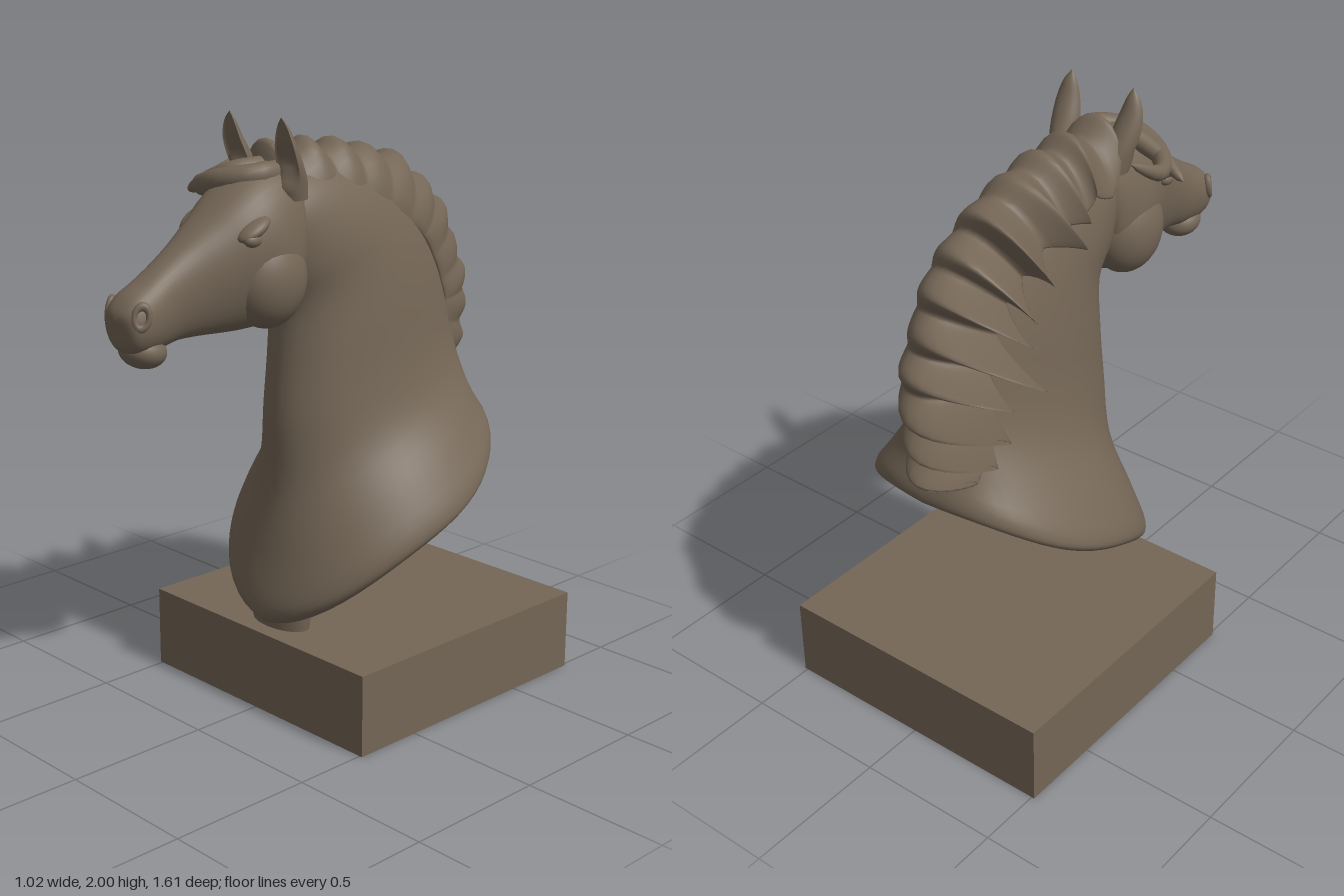
import * as THREE from 'three';

const V = (x, y, z) => new THREE.Vector3(x, y, z);
const { clamp } = THREE.MathUtils;

// Smoothly resample a table of numeric rows (Catmull-Rom), n steps per span
function smoothRows(rows, n) {
  const out = [], last = rows.length - 1;
  for (let i = 0; i < last; i++) {
    const a = rows[Math.max(i - 1, 0)], b = rows[i], c = rows[i + 1], d = rows[Math.min(i + 2, last)];
    for (let k = 0; k < n; k++) {
      const t = k / n;
      out.push(b.map((p, j) => p + 0.5 * t * (c[j] - a[j] + t * (2 * a[j] - 5 * p + 4 * c[j] - d[j]
        + t * (3 * (p - c[j]) + d[j] - a[j])))));
    }
  }
  out.push(rows[last]);
  return out;
}

// Skin closed rings of equal length, facing outwards
function loft(rings) {
  const n = rings[0].length, pts = rings.flat(), idx = [];
  for (let j = 0; j < n; j++) {
    const k = (j + 1) % n;
    for (let i = 0; i < rings.length - 1; i++) {
      const a = i * n + j, b = i * n + k;
      idx.push(a, b, a + n, b, b + n, a + n);
    }
  }
  const centre = rings[0].reduce((s, p) => s.add(p), V(0, 0, 0)).divideScalar(n);
  const from = (i) => pts[i].clone().sub(centre);
  let volume = 0;
  for (let i = 0; i < idx.length; i += 3) volume += from(idx[i]).dot(from(idx[i + 1]).cross(from(idx[i + 2])));
  if (volume < 0) idx.reverse();
  const g = new THREE.BufferGeometry().setFromPoints(pts);
  g.setIndex(idx);
  g.computeVertexNormals();
  return g;
}

const ring = (n, f) => Array.from({ length: n }, (_, j) => f((j / n) * Math.PI * 2));

// Tapered flat lock of hair along a path; "across" is the broad direction
function lock(points, across, width, thick) {
  const curve = new THREE.CatmullRomCurve3(points), rings = [];
  for (let i = 0; i <= 22; i++) {
    const s = i / 22, p = curve.getPoint(s), t = curve.getTangent(s);
    const w = across.clone().addScaledVector(t, -across.dot(t)).normalize();
    const u = t.clone().cross(w);
    const r = Math.max((0.75 + 0.6 * s) * Math.sqrt(1 - s), 0.02);
    rings.push(ring(20, (a) => p.clone().addScaledVector(w, Math.cos(a) * width * r)
      .addScaledVector(u, Math.sin(a) * thick * r)));
  }
  return loft(rings);
}

// Mane sheet draped over the crest, its hanging edge drawn out into a tip for each row
// Rows: crest y, z, then tip x, y, z
function maneSheet(rows) {
  const crest = new THREE.CatmullRomCurve3(rows.map(([y, z]) => V(0, y, z)));
  const last = rows.length - 1, steps = last * 14, rings = [];
  for (let k = 0; k <= steps; k++) {
    const s = (k / steps) * last, i = Math.floor(s), f = s - i;
    const p = crest.getPoint(k / steps), along = crest.getTangent(k / steps);
    const out = V(0, -along.z, along.y);
    const at = (x, o) => V(x, p.y, p.z).addScaledVector(out, o);
    const peak = Math.sin(Math.PI * f ** 1.3) ** 1.4;
    const [, , tx, ty, tz] = rows[i];
    const edge = at(-0.16, -0.12).lerp(V(tx, ty, tz), peak);
    const spine = new THREE.QuadraticBezierCurve3(at(0.1, -0.14), at(-0.01, 0.16 + 0.06 * peak), edge);
    const end = clamp(Math.min(s, last - s) * 2.5, 0.02, 1);
    const core = at(-0.02, -0.06);
    rings.push(ring(36, (a) => {
      const t = (1 - Math.cos(a)) / 2, q = spine.getPoint(t), d = spine.getTangent(t);
      const normal = along.clone().cross(d).normalize();
      const thick = 0.035 * (1 - 0.4 * t) * (1 + 0.25 * Math.sin(Math.PI * f));
      return q.addScaledVector(normal, Math.sin(a) * thick).lerp(core, 1 - end);
    }));
  }
  return loft(rings);
}

export function createModel() {
  const model = new THREE.Group();
  const bronze = new THREE.MeshStandardMaterial({ color: 0x746656 });
  bronze.name = 'bronze';
  const add = (name, geometry) => {
    const mesh = new THREE.Mesh(geometry, bronze);
    mesh.name = name;
    model.add(mesh);
    return mesh;
  };
  const blob = (name, x, y, z, rx, ry, rz) => {
    const m = add(name, new THREE.SphereGeometry(1, 28, 20));
    m.position.set(x, y, z);
    m.scale.set(rx, ry, rz);
    return m;
  };

  // Plinth and the small foot that joins it to the bust
  add('plinth', new THREE.BoxGeometry(1.02, 0.28, 1.025)).position.set(0, 0.14, -0.267);
  const foot = add('foot', new THREE.CylinderGeometry(1.1, 1, 0.08, 32));
  foot.position.set(0, 0.315, 0.125);
  foot.scale.set(0.12, 1, 0.065);

  // Neck: slanted slices as front z, front y, back z, back y, half width, arch
  const neck = smoothRows([
    [0.14, 0.3, -0.66, 0.875, 0, 0.055],
    [0.16, 0.295, -0.67, 0.88, 0.36, 0.055],
    [0.2, 0.3, -0.69, 0.89, 0.42, 0.05],
    [0.225, 0.36, -0.69, 0.93, 0.425, 0.045],
    [0.19, 0.54, -0.66, 1.02, 0.365, 0.04],
    [0.15, 0.77, -0.65, 1.16, 0.272, 0.02],
    [0.15, 1.0, -0.63, 1.34, 0.228, 0],
    [0.135, 1.2, -0.57, 1.5, 0.207, 0],
    [0.135, 1.37, -0.46, 1.66, 0.185, 0],
    [0.2, 1.47, -0.28, 1.78, 0.17, 0],
    [0.25, 1.6, -0.08, 1.83, 0.14, 0],
    [0.25, 1.7, 0.1, 1.83, 0.09, 0],
  ], 4);
  add('neck', loft(neck.map(([fz, fy, bz, by, hw, arch]) => ring(56, (a) => {
    const u = (1 - Math.cos(a)) / 2, s = Math.sin(a);
    const upper = clamp((fy - 0.4) * 2, 0, 1);
    const x = hw * Math.sign(s) * Math.abs(s) ** (1 - 0.2 * u * (1 - upper)) * (1 - 0.3 * u * u * upper);
    const sag = 0.035 * Math.sin(2 * Math.PI * u) * (1 - upper);
    return V(x, fy + (by - fy) * u + arch * Math.abs(s) + sag, fz + (bz - fz) * u);
  }))));

  // Head: slices as top z, top y, bottom z, bottom y, upper and lower half width
  const head = smoothRows([
    [0.08, 1.8, 0.12, 1.55, 0.06, 0.06],
    [0.12, 1.84, 0.13, 1.43, 0.12, 0.14],
    [0.2, 1.85, 0.16, 1.37, 0.155, 0.17],
    [0.3, 1.82, 0.22, 1.345, 0.175, 0.175],
    [0.38, 1.77, 0.3, 1.335, 0.17, 0.145],
    [0.46, 1.705, 0.38, 1.335, 0.14, 0.115],
    [0.54, 1.645, 0.48, 1.34, 0.108, 0.085],
    [0.62, 1.59, 0.57, 1.34, 0.092, 0.07],
    [0.69, 1.545, 0.65, 1.325, 0.092, 0.077],
    [0.75, 1.51, 0.72, 1.32, 0.093, 0.08],
    [0.785, 1.47, 0.765, 1.335, 0.07, 0.065],
    [0.795, 1.44, 0.785, 1.36, 0, 0],
  ], 4);
  add('head', loft(head.map(([tz, ty, bz, by, wt, wb]) => ring(40, (a) => {
    const v = (1 - Math.cos(a)) / 2, s = Math.sin(a);
    const x = (wt + (wb - wt) * v) * Math.sign(s) * Math.abs(s) ** 0.8;
    return V(x, ty + (by - ty) * v, tz + (bz - tz) * v);
  }))));
  blob('lowerLip', 0, 1.327, 0.69, 0.075, 0.055, 0.075).rotation.x = -0.25;

  for (const side of [-1, 1]) {
    blob('cheek', side * 0.08, 1.5, 0.255, 0.115, 0.16, 0.14);
    blob('eye', side * 0.153, 1.645, 0.375, 0.022, 0.022, 0.032);
    blob('brow', side * 0.135, 1.675, 0.355, 0.042, 0.024, 0.065).rotation.x = 0.5;

    // Nostril rim
    const nostril = add('nostril', new THREE.TorusGeometry(0.028, 0.012, 12, 24));
    nostril.position.set(side * 0.075, 1.452, 0.748);
    nostril.rotation.set(-0.2, side * 0.95, 0);
    nostril.scale.set(0.8, 1.2, 1);

    // Ear with a hollow front: centre x, y, z, half width, depth
    const ear = smoothRows([
      [0.1, 1.74, 0.16, 0.045, 0.05],
      [0.11, 1.8, 0.175, 0.046, 0.055],
      [0.117, 1.86, 0.2, 0.05, 0.05],
      [0.123, 1.92, 0.218, 0.041, 0.036],
      [0.123, 1.97, 0.225, 0.023, 0.02],
      [0.12, 2.0, 0.226, 0.001, 0.001],
    ], 4);
    add('ear', loft(ear.map(([x, y, z, w, d]) => ring(28, (a) => {
      const hollow = clamp((y - 1.78) * 12, 0, 1);
      const c = Math.cos(a);
      return V(side * (x + w * Math.sin(a)), y, z + d * (c > 0 ? c * (1 - 1.35 * hollow) : c));
    }))));
  }

  add('mane', maneSheet([
    [1.8, 0.22, -0.14, 1.79, 0.14],
    [1.815, 0.08, -0.18, 1.75, -0.04],
    [1.82, -0.06, -0.22, 1.7, -0.12],
    [1.81, -0.19, -0.27, 1.66, -0.2],
    [1.775, -0.32, -0.33, 1.66, -0.44],
    [1.715, -0.44, -0.3, 1.54, -0.48],
    [1.64, -0.54, -0.36, 1.53, -0.58],
    [1.54, -0.61, -0.43, 1.42, -0.6],
    [1.43, -0.66, -0.36, 1.36, -0.67],
    [1.32, -0.69, -0.4, 1.3, -0.73],
    [1.21, -0.68, -0.33, 1.17, -0.71],
    [1.1, -0.66, -0.23, 1.06, -0.69],
    [0.98, -0.64, -0.1, 0.95, -0.66],
  ]));

  // Forelock swept across the brow to one side
  add('forelock', lock([V(0.04, 1.82, 0.14), V(0.05, 1.82, 0.26), V(-0.05, 1.8, 0.33),
    V(-0.17, 1.77, 0.3), V(-0.26, 1.77, 0.18), V(-0.24, 1.84, 0.05)], V(0, 1, 0.25), 0.05, 0.045));
  add('forelock', lock([V(-0.03, 1.83, 0.13), V(-0.06, 1.82, 0.26), V(-0.17, 1.78, 0.28),
    V(-0.31, 1.73, 0.24)], V(0, 1, 0.25), 0.045, 0.045));

  return model;
}
